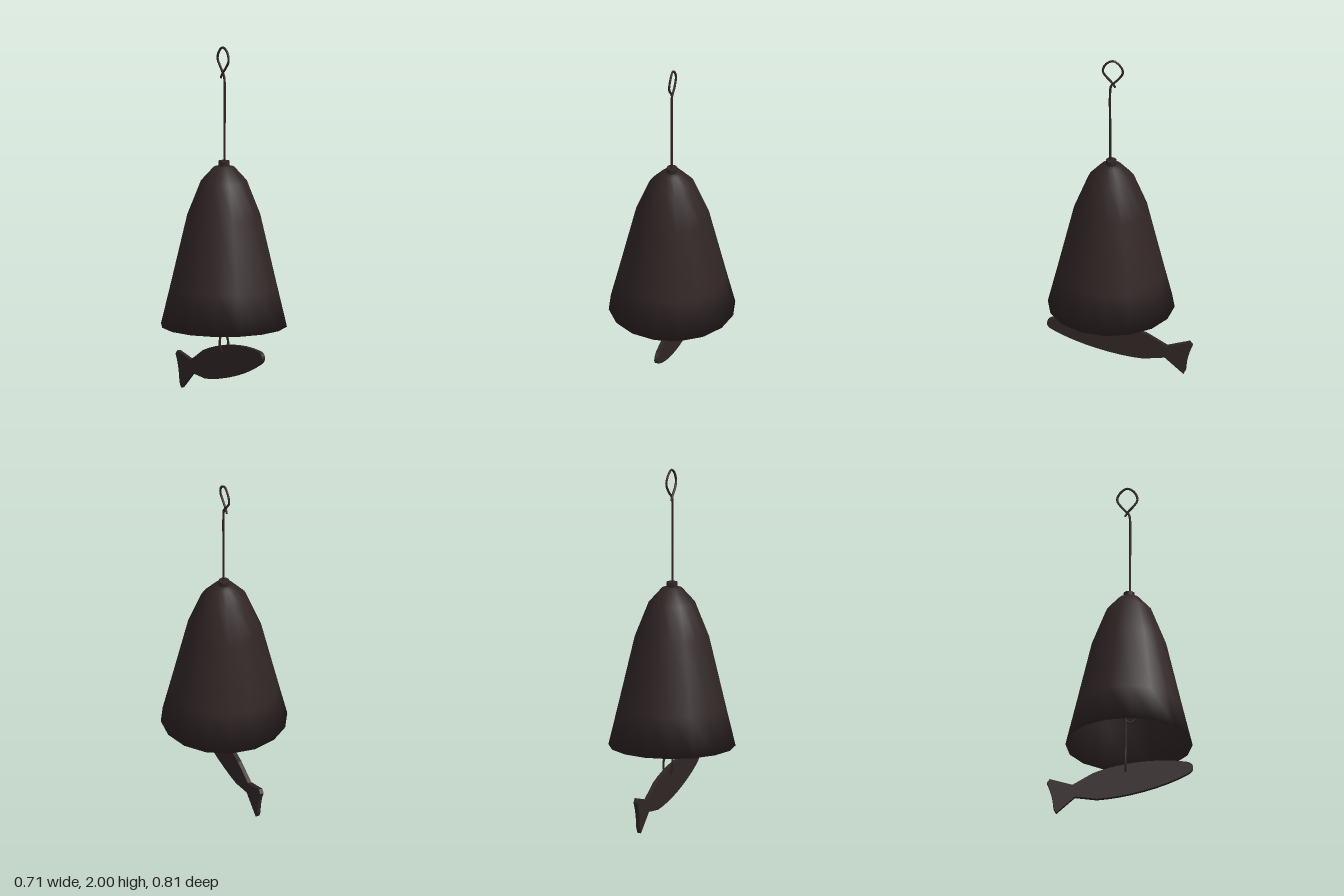
import * as THREE from 'three';

const iron = new THREE.MeshStandardMaterial({ color: 0x302525 });
iron.name = 'darkIron';

function add(group, name, geometry) {
  const mesh = new THREE.Mesh(geometry, iron);
  mesh.name = name;
  group.add(mesh);
  return mesh;
}

// Round wire bent through a list of [x, y, z] points, with closed ends
function wire(group, name, points, radius = 0.0065) {
  const path = points.map((p) => new THREE.Vector3(...p));
  const curve = new THREE.CatmullRomCurve3(path, false, 'centripetal');
  add(group, name, new THREE.TubeGeometry(curve, 72, radius, 8));
  for (const end of [path[0], path[path.length - 1]]) {
    add(group, name + 'End', new THREE.SphereGeometry(radius, 8, 6)).position.copy(end);
  }
}

export function createModel() {
  const model = new THREE.Group();
  model.name = 'windBell';
  const bellZ = 0.05;

  // Bell shell: inner wall down to the thin rim, then outer wall up to the crown
  const profile = [
    [0, 1.3], [0.045, 1.295], [0.115, 1.225], [0.192, 1.03], [0.286, 0.645],
    [0.354, 0.42],
    [0.3, 0.645], [0.207, 1.04], [0.13, 1.235], [0.058, 1.315], [0, 1.33],
  ].map(([r, y]) => new THREE.Vector2(r, y));
  add(model, 'bell', new THREE.LatheGeometry(profile, 16)).position.z = bellZ;

  // Collar on the crown
  add(model, 'crownCollar', new THREE.CylinderGeometry(0.03, 0.03, 0.04, 16))
    .position.set(0, 1.33, bellZ);

  // Hanging wire with a twisted eye at the top
  wire(model, 'hangingWire', [
    [0, 1.28, 0.055], [0, 1.5, 0.055], [0, 1.79, 0.056], [0, 1.83, 0.05],
    [0.004, 1.87, 0.015], [0.004, 1.92, -0.016], [0.002, 1.965, 0.003],
    [0, 1.99, 0.04], [0, 1.968, 0.08], [-0.003, 1.92, 0.097],
    [-0.006, 1.88, 0.075], [-0.006, 1.845, 0.045], [-0.006, 1.82, 0.03],
  ]);

  // Inner wire ending in a small hook inside the bell
  wire(model, 'innerHook', [
    [0, 1.3, 0.055], [0, 0.9, 0.052], [0, 0.68, 0.045], [0, 0.62, 0.025],
    [0, 0.575, 0.03], [0, 0.555, 0.055], [0, 0.58, 0.085], [0, 0.63, 0.08], [0, 0.66, 0.058],
  ]);

  // Lower wire: hangs on the hook and loops through the fish
  wire(model, 'fishWire', [
    [0.025, 0.6, 0.032], [0.012, 0.63, 0.032], [0, 0.6, 0.032], [0, 0.5, 0.032], [0, 0.39, 0.032],
    [-0.012, 0.345, 0.03], [-0.012, 0.29, 0.03], [0.01, 0.252, 0.03],
    [0.035, 0.265, 0.03], [0.043, 0.315, 0.03], [0.032, 0.35, 0.03], [0.004, 0.368, 0.03],
  ]);

  // Flat fish-shaped wind catcher; outline is drawn as (z, y)
  const body = new THREE.Shape();
  body.moveTo(0.407, 0.283);
  body.quadraticCurveTo(0.405, 0.315, 0.365, 0.32);
  body.bezierCurveTo(0.2, 0.34, 0, 0.31, -0.15, 0.245);
  body.lineTo(-0.265, 0.172);
  body.lineTo(-0.39, 0.206);
  body.lineTo(-0.407, 0.185);
  body.quadraticCurveTo(-0.375, 0.12, -0.37, 0.03);
  body.lineTo(-0.355, 0);
  body.lineTo(-0.25, 0.1);
  body.lineTo(-0.13, 0.087);
  body.bezierCurveTo(0.03, 0.1, 0.24, 0.165, 0.37, 0.243);
  body.quadraticCurveTo(0.405, 0.262, 0.407, 0.283);
  const fish = new THREE.ExtrudeGeometry(body, { depth: 0.022, bevelEnabled: false, curveSegments: 8 });
  fish.rotateY(-Math.PI / 2);
  fish.translate(0.022, 0, 0);
  add(model, 'fish', fish);

  return model;
}
